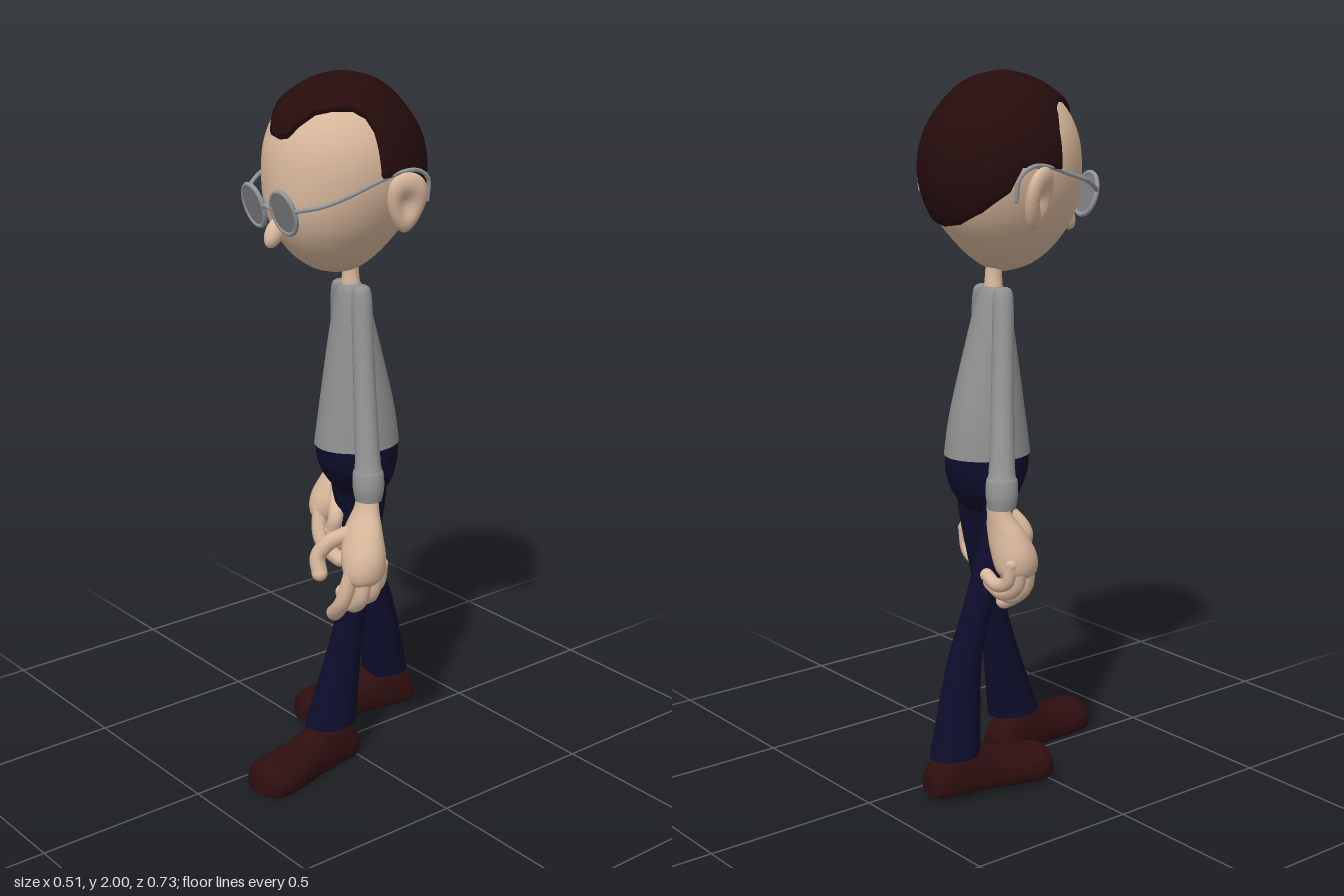
import * as THREE from 'three';

const mat = (name, color) => {
  const m = new THREE.MeshStandardMaterial({ color });
  m.name = name;
  return m;
};

// Uniform Catmull-Rom through rows of numbers, t in 0..1
function spline(rows, t) {
  const n = rows.length - 1, f = Math.min(t * n, n - 1e-6), i = Math.floor(f), u = f - i;
  const at = k => rows[Math.max(0, Math.min(n, k))];
  return rows[i].map((_, c) => {
    const a = at(i - 1)[c], b = at(i)[c], d = at(i + 1)[c], e = at(i + 2)[c];
    return b + 0.5 * u * (d - a + u * (2 * a - 5 * b + 4 * d - e + u * (3 * (b - d) + e - a)));
  });
}

// Surface closed around its columns; rows run from top to bottom
function grid(rows, cols, fn) {
  const pos = [], idx = [];
  for (let i = 0; i < rows; i++) for (let j = 0; j < cols; j++) {
    pos.push(...fn(i, j / cols * Math.PI * 2));
    if (i < rows - 1) {
      const k = (j + 1) % cols, a = i * cols + j, b = a + cols, c = (i + 1) * cols + k, d = i * cols + k;
      idx.push(a, b, c, a, c, d);
    }
  }
  const g = new THREE.BufferGeometry();
  g.setAttribute('position', new THREE.Float32BufferAttribute(pos, 3));
  g.setIndex(idx);
  g.computeVertexNormals();
  return g;
}

// Capped body through elliptical sections [centreX, y, centreZ, radiusX, radiusZ]
function loft(sections, steps = 28, cols = 28) {
  const rings = [];
  for (let i = 0; i <= steps; i++) {
    const r = spline(sections, i / steps);
    r[3] = Math.max(r[3], 0);
    r[4] = Math.max(r[4], 0);
    rings.push(r);
  }
  const first = rings[0], last = rings[steps], flat = r => [r[0], r[1], r[2], 0, 0];
  const all = [flat(first), first, ...rings, last, flat(last)];
  return grid(all.length, cols, (i, a) => {
    const [x, y, z, rx, rz] = all[i];
    return [x + rx * Math.sin(a), y, z + rz * Math.cos(a)];
  });
}

// Head sections from crown to chin: [half width, front z, back z]
const HEAD = [[0, -0.02, -0.02], [0.085, 0.065, -0.11], [0.155, 0.15, -0.18], [0.2, 0.193, -0.235],
  [0.205, 0.205, -0.252], [0.175, 0.195, -0.222], [0.12, 0.145, -0.155], [0.06, 0.07, -0.085], [0, -0.02, -0.02]];
function headPoint(phi, a, scale = 1) {
  const [w, f, b] = spline(HEAD, phi / Math.PI);
  const z = (f + b) / 2 + (f - b) / 2 * Math.cos(a);
  return [w * Math.sin(a) * scale, 1.72 + 0.267 * Math.cos(phi) * scale, (z + 0.02) * scale - 0.02];
}

// Hairline: [degrees from the front, height]
const HAIRLINE = [[0, 1.845], [9, 1.85], [18, 1.885], [30, 1.915], [45, 1.925], [65, 1.925], [76, 1.905],
  [80, 1.87], [82, 1.745], [95, 1.75], [112, 1.755], [120, 1.69], [140, 1.635], [160, 1.6], [180, 1.59]];
function hairline(a) {
  const d = Math.min(a, Math.PI * 2 - a) * 180 / Math.PI;
  const k = Math.max(1, HAIRLINE.findIndex(p => p[0] >= d - 1e-6));
  const [d0, y0] = HAIRLINE[k - 1], [d1, y1] = HAIRLINE[k];
  return y0 + (y1 - y0) * (d - d0) / (d1 - d0);
}

export function createModel() {
  const root = new THREE.Group();
  root.name = 'walkingMan';
  const skin = mat('skin', 0xdab99d), hair = mat('hair', 0x260c0d), shirt = mat('shirt', 0x909090);
  const trousers = mat('trousers', 0x0d0d2b), leather = mat('shoeLeather', 0x2f0f10);
  const metal = mat('glassesFrame', 0x94979a), glass = mat('lensGlass', 0x7b7e80);

  const add = (name, geo, m, parent = root) => {
    const mesh = new THREE.Mesh(geo, m);
    mesh.name = name;
    parent.add(mesh);
    return mesh;
  };
  const group = name => {
    const g = new THREE.Group();
    g.name = name;
    root.add(g);
    return g;
  };
  const ball = (name, m, p, r, parent) => {
    const b = add(name, new THREE.SphereGeometry(1, 24, 16), m, parent);
    b.position.set(...p);
    b.scale.set(...r);
    return b;
  };
  const tube = (name, m, pts, r, parent) => {
    const curve = new THREE.CatmullRomCurve3(pts.map(p => new THREE.Vector3(...p)));
    add(name, new THREE.TubeGeometry(curve, 24, r, 10), m, parent);
    for (const p of [pts[0], pts[pts.length - 1]]) ball(name + 'End', m, p, [r, r, r], parent);
  };

  // Head, hair and nose
  add('head', grid(41, 48, (i, a) => headPoint(i / 40 * Math.PI, a)), skin);
  add('hair', grid(28, 180, (i, a) => {
    const edge = Math.acos((hairline(a) - 1.72) / 1.05 / 0.267);
    return headPoint(edge * Math.min(i, 26) / 26, a, i === 27 ? 0.97 : 1.05);
  }), hair);
  ball('nose', skin, [-0.005, 1.592, 0.203], [0.025, 0.045, 0.026], root).rotation.x = -0.5;
  add('neck', loft([[0, 1.5, -0.05, 0.024, 0.024], [0, 1.44, -0.053, 0.024, 0.024], [0, 1.37, -0.055, 0.034, 0.03]]), skin);

  // Ears: flattened, narrow at the lobe, dished on the outside
  for (const s of [-1, 1]) {
    const geo = new THREE.SphereGeometry(1, 28, 20), p = geo.attributes.position;
    for (let i = 0; i < p.count; i++) {
      const x = p.getX(i) * s, y = p.getY(i), z = p.getZ(i);
      const dish = x > 0 ? 1 - 0.9 * Math.exp(-5 * (y * y + z * z)) : 1;
      p.setXYZ(i, s * x * dish * 0.028, y * 0.086, z * 0.066 * (0.82 + 0.25 * y));
    }
    geo.computeVertexNormals();
    const ear = add(s > 0 ? 'leftEar' : 'rightEar', geo, skin);
    ear.position.set(s * 0.213, 1.672, -0.07);
    ear.rotation.set(0, -0.4 * s, -0.22 * s);
  }

  // Glasses
  const glasses = group('glasses');
  for (const s of [-1, 1]) {
    const eye = new THREE.Group();
    eye.name = s > 0 ? 'leftLens' : 'rightLens';
    eye.position.set(s * 0.066 - 0.004, 1.657, 0.222);
    eye.rotation.set(0.28, s * 0.06, 0);
    eye.scale.set(0.78, 1, 1);
    glasses.add(eye);
    add('rim', new THREE.TorusGeometry(0.06, 0.007, 10, 36), metal, eye);
    add('lens', new THREE.CylinderGeometry(0.06, 0.06, 0.006, 36).rotateX(Math.PI / 2), glass, eye);
    tube('temple', metal, [[s * 0.115, 1.67, 0.222], [s * 0.165, 1.685, 0.17], [s * 0.198, 1.71, 0.11],
      [s * 0.205, 1.735, 0.03], [s * 0.215, 1.755, -0.04], [s * 0.222, 1.757, -0.1],
      [s * 0.22, 1.73, -0.14], [s * 0.212, 1.67, -0.145]], 0.006, glasses);
  }
  tube('bridge', metal, [[-0.024, 1.66, 0.225], [-0.004, 1.667, 0.233], [0.016, 1.66, 0.225]], 0.006, glasses);

  // Sweater body and hips
  add('sweater', loft([[0, 1.415, -0.055, 0.03, 0.026], [0, 1.38, -0.056, 0.05, 0.042], [0, 1.25, -0.064, 0.075, 0.07],
    [0, 1.06, -0.076, 0.1, 0.11], [0, 0.945, -0.077, 0.113, 0.127]]), shirt);
  add('hips', loft([[0, 0.96, -0.077, 0.11, 0.123], [0, 0.89, -0.08, 0.113, 0.116], [0, 0.83, -0.085, 0.1, 0.086],
    [0, 0.79, -0.09, 0.06, 0.05]]), trousers);

  // Flared trouser legs, the left one striding forward
  add('leftLeg', loft([[0.055, 0.87, -0.085, 0.042, 0.055], [0.063, 0.75, -0.075, 0.034, 0.046], [0.06, 0.52, -0.027, 0.038, 0.043],
    [0.06, 0.35, 0.012, 0.043, 0.053], [0.062, 0.12, 0.068, 0.062, 0.083]]), trousers);
  add('rightLeg', loft([[-0.06, 0.87, -0.085, 0.042, 0.055], [-0.068, 0.75, -0.1, 0.035, 0.044], [-0.075, 0.55, -0.165, 0.038, 0.042],
    [-0.082, 0.38, -0.225, 0.043, 0.052], [-0.102, 0.125, -0.275, 0.062, 0.076]]), trousers);

  // Shoes, lofted heel to toe: [z, half width, height]
  const SHOE = [[-0.088, 0.02, 0.05], [-0.075, 0.047, 0.08], [-0.03, 0.058, 0.125], [0.04, 0.06, 0.135], [0.11, 0.064, 0.108],
    [0.19, 0.076, 0.092], [0.255, 0.076, 0.086], [0.288, 0.054, 0.072], [0.303, 0, 0.03]];
  const shoe = (name, x, y, z, turn) => {
    const geo = loft(SHOE.map(([d, w, h]) => [0, -d, h * 0.3, w, h * 0.7]), 36).rotateX(-Math.PI / 2);
    const p = geo.attributes.position;
    for (let i = 0; i < p.count; i++) p.setY(i, Math.max(0, p.getY(i)));
    geo.computeVertexNormals();
    const mesh = add(name, geo, leather);
    mesh.position.set(x, y, z);
    mesh.rotation.y = turn;
  };
  shoe('leftShoe', 0.062, 0.005, 0.066, 0.15);
  shoe('rightShoe', -0.1, 0.022, -0.274, -0.17);

  // Sleeves with a gathered cuff
  const sleeve = (name, s, wx, wz) => {
    const at = (t, y, r) => [s * (0.045 + (wx - 0.045) * t), y, -0.055 + (wz + 0.055) * t, r, r];
    add(name, loft([at(0, 1.415, 0.014), at(0.04, 1.39, 0.028), at(0.25, 1.26, 0.03), at(0.55, 1.1, 0.032),
      at(0.9, 0.94, 0.036), at(0.95, 0.91, 0.043), at(1, 0.87, 0.044), at(1.02, 0.835, 0.038)], 40), shirt);
  };
  sleeve('leftSleeve', 1, 0.16, 0.01);
  sleeve('rightSleeve', -1, 0.175, -0.165);

  // Large hands with curled fingers
  const hand = (name, s, dz, stretch) => {
    const g = group(name);
    const at = ([x, y, z]) => [s * x, 0.85 + (y - 0.85) * stretch, z + dz];
    const sections = [[0.158, 0.87, 0.01, 0.03, 0.027], [0.162, 0.81, 0.018, 0.04, 0.032], [0.17, 0.75, 0.035, 0.063, 0.046],
      [0.186, 0.68, 0.048, 0.068, 0.06], [0.195, 0.62, 0.052, 0.05, 0.056], [0.195, 0.59, 0.055, 0.012, 0.018]];
    add('palm', loft(sections.map(([x, y, z, rx, rz]) => [...at([x, y, z]), rx, rz])), skin, g);
    const fingers = {
      indexFinger: [[0.19, 0.65, 0.09], [0.165, 0.55, 0.105], [0.125, 0.505, 0.095], [0.1, 0.487, 0.083]],
      middleFinger: [[0.215, 0.65, 0.065], [0.2, 0.56, 0.07], [0.15, 0.525, 0.062], [0.105, 0.545, 0.055]],
      ringFinger: [[0.225, 0.65, 0.035], [0.208, 0.575, 0.036], [0.16, 0.545, 0.03], [0.105, 0.565, 0.03]],
      littleFinger: [[0.222, 0.66, 0.012], [0.205, 0.595, 0.01], [0.16, 0.575, 0.008], [0.115, 0.595, 0.01]],
      thumb: [[0.14, 0.74, 0.06], [0.095, 0.705, 0.1], [0.073, 0.66, 0.122], [0.085, 0.615, 0.125]],
    };
    for (const [finger, pts] of Object.entries(fingers)) tube(finger, skin, pts.map(at), finger === 'littleFinger' ? 0.019 : 0.023, g);
  };
  hand('leftHand', 1, 0, 1);
  hand('rightHand', -1, -0.18, 0.86);

  return root;
}
